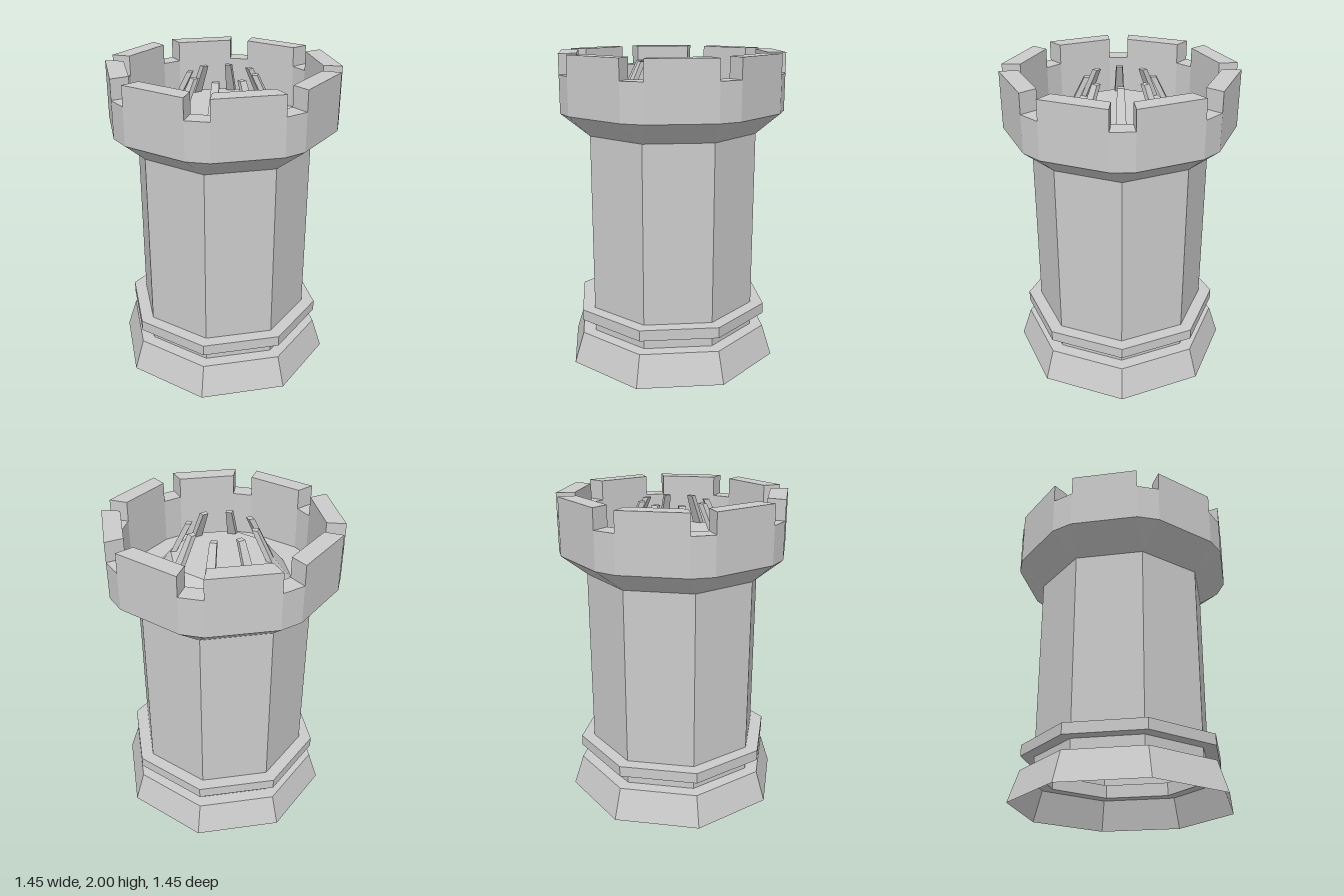
import * as THREE from 'three';

const SIDES = 8;
const STEP = (Math.PI * 2) / SIDES;
const GAP = THREE.MathUtils.degToRad(11.3); // angular width of a notch

const material = new THREE.MeshStandardMaterial({
  color: 0xcccccc, flatShading: true, side: THREE.DoubleSide,
});

// Point at angle a (from +z towards +x), radius r, height y
const polar = (a, [r, y]) => [r * Math.sin(a), y, r * Math.cos(a)];

// Collects flat polygons into one mesh
function faceMesh(name, build) {
  const positions = [];
  const face = (...p) => {
    for (let i = 1; i < p.length - 1; i++) positions.push(...p[0], ...p[i], ...p[i + 1]);
  };
  build(face);
  const geometry = new THREE.BufferGeometry();
  geometry.setAttribute('position', new THREE.Float32BufferAttribute(positions, 3));
  geometry.computeVertexNormals();
  const mesh = new THREE.Mesh(geometry, material);
  mesh.name = name;
  return mesh;
}

// Sweeps a [radius, height] profile across one flat sector
function sector(face, profile, a0, a1) {
  for (let i = 0; i < profile.length - 1; i++) {
    const p = profile[i], q = profile[i + 1];
    if (q[0] === 0) face(polar(a0, p), polar(a1, p), polar(a0, q));
    else face(polar(a0, p), polar(a1, p), polar(a1, q), polar(a0, q));
  }
}

// Closes both ends of a sector with its cross-section
function ends(face, section, a0, a1) {
  face(...section.map((p) => polar(a0, p)));
  face(...section.map((p) => polar(a1, p)).reverse());
}

// Octagonal hollow shell from a profile
function octagonShell(name, profile) {
  const points = profile.map(([r, y]) => new THREE.Vector2(r, y));
  let geometry = new THREE.LatheGeometry(points, SIDES, GAP / 2).toNonIndexed();
  geometry.computeVertexNormals();
  const mesh = new THREE.Mesh(geometry, material);
  mesh.name = name;
  return mesh;
}

export function createModel() {
  const group = new THREE.Group();
  group.name = 'tower';

  // Flared open base, collar and shaft
  group.add(octagonShell('base', [[0.71, 0], [0.645, 0.2], [0.56, 0.2]]));
  group.add(octagonShell('collar', [[0.56, 0.29], [0.645, 0.29], [0.645, 0.36], [0.56, 0.36]]));
  group.add(octagonShell('lowerShaft', [[0.56, 0.2], [0.56, 0.29]]));
  group.add(octagonShell('shaft', [[0.56, 0.36], [0.56, 1.5]]));

  // Sloped underside joining the octagon to the sixteen-sided crown
  group.add(faceMesh('crownUnderside', (face) => {
    const rim = [0.725, 1.64], neck = [0.56, 1.5];
    for (let k = 0; k < SIDES; k++) {
      const a = k * STEP, b = a + GAP, c = a + STEP;
      const n0 = polar(a + GAP / 2, neck), n1 = polar(c + GAP / 2, neck);
      face(n0, polar(b, rim), polar(a, rim));
      face(n0, n1, polar(c, rim), polar(b, rim));
    }
  }));

  // Parapet wall: alternating low notches and tall merlons
  group.add(faceMesh('battlements', (face) => {
    const wall = (top) => [[0.725, 1.64], [0.725, top], [0.61, top], [0.61, 1.6]];
    const cheek = [[0.725, 1.875], [0.725, 2], [0.61, 2], [0.61, 1.875]];
    for (let k = 0; k < SIDES; k++) {
      const a = k * STEP, b = a + GAP, c = a + STEP;
      sector(face, wall(1.875), a, b);
      sector(face, wall(2), b, c);
      ends(face, cheek, b, c);
    }
  }));

  // Walkway floor with a raised central platform
  group.add(faceMesh('floor', (face) => {
    const profile = [[0.61, 1.6], [0.44, 1.6], [0.315, 1.75], [0, 1.75]];
    for (let k = 0; k < SIDES; k++) {
      const a = k * STEP;
      sector(face, profile, a, a + GAP);
      sector(face, profile, a + GAP, a + STEP);
    }
  }));

  // Inward-leaning prongs on the platform, one behind each notch
  group.add(faceMesh('prongs', (face) => {
    const section = [[0.315, 1.75], [0.22, 1.94], [0.185, 1.94], [0.28, 1.75]];
    for (let k = 0; k < SIDES; k++) {
      const a = k * STEP;
      sector(face, section, a, a + GAP);
      ends(face, section, a, a + GAP);
    }
  }));

  return group;
}
